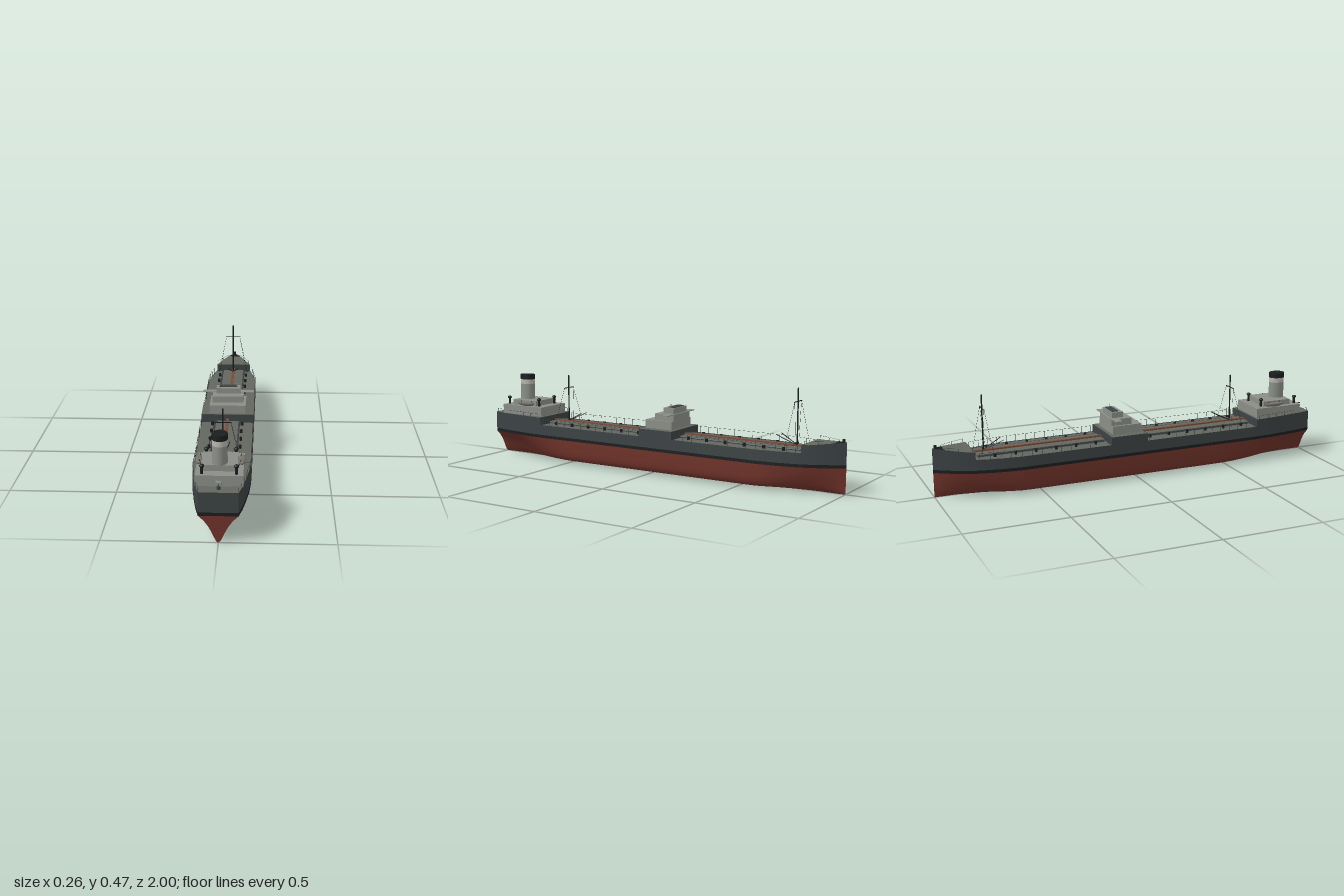
import * as THREE from 'three';
import { toCreasedNormals } from 'three/addons/utils/BufferGeometryUtils.js';

const mat = (color) => new THREE.MeshStandardMaterial({ color, side: THREE.DoubleSide });
const M = {
  red: mat(0x70332a), hull: mat(0x3c4244), black: mat(0x1b1d1e), deck: mat(0x63675f),
  house: mat(0x8b8e87), pale: mat(0xb9b7b0), pipe: mat(0x7d4a35), boat: mat(0x77736a),
};
const V = (x, y, z) => new THREE.Vector3(x, y, z);
const { lerp, smoothstep } = THREE.MathUtils;

// half breadth of the ship at a station z (bow at -1, stern at +1)
const PLAN = [[-1, 0.002], [-0.975, 0.018], [-0.95, 0.034], [-0.9, 0.061], [-0.85, 0.083], [-0.8, 0.1],
  [-0.7, 0.12], [-0.6, 0.13], [0.65, 0.13], [0.75, 0.124], [0.85, 0.112], [0.93, 0.1], [1, 0.085]];
function breadth(z) {
  const i = Math.max(1, PLAN.findIndex((p) => p[0] >= z - 1e-6));
  const [a, b] = [PLAN[i - 1], PLAN[i]];
  return lerp(a[1], b[1], (z - a[0]) / (b[0] - a[0]));
}
// underwater half sections: [fraction of half breadth, height]
const FULL = [[0, 0.003], [0.5, 0.009], [0.85, 0.014], [0.92, 0.022], [0.97, 0.04], [0.99, 0.065], [1, 0.122]];
const STERN = [[0, 0], [0.1, 0.006], [0.2, 0.022], [0.32, 0.045], [0.5, 0.074], [0.72, 0.1], [1, 0.122]];
const BOW = [[0, 0], [0.25, 0.006], [0.45, 0.02], [0.6, 0.042], [0.77, 0.07], [0.92, 0.098], [1, 0.122]];
function underwater(z) {
  const s = z > 0 ? smoothstep(z, 0.45, 1) : 1 - smoothstep(z, -0.97, -0.55);
  const end = z > 0 ? STERN : BOW, w = breadth(z);
  const half = FULL.map((p, i) => [w * lerp(p[0], end[i][0], s), lerp(p[1], end[i][1], s)]);
  return [...half.slice(1).reverse(), ...half.map(([x, y]) => [-x, y])];
}

function add(parent, name, geo, material, x = 0, y = 0, z = 0) {
  const m = new THREE.Mesh(geo, material);
  m.name = name;
  m.position.set(x, y, z);
  parent.add(m);
  return m;
}
// box given by half width, heights and z range
const block = (g, name, material, hw, y0, y1, z0, z1, x = 0) =>
  add(g, name, new THREE.BoxGeometry(hw * 2, y1 - y0, z1 - z0), material, x, (y0 + y1) / 2, (z0 + z1) / 2);
// round bar between two points
function bar(g, name, p, q, r, material = M.black, sides = 5) {
  const m = add(g, name, new THREE.CylinderGeometry(r, r, p.distanceTo(q), sides), material);
  m.position.copy(p).add(q).multiplyScalar(0.5);
  m.quaternion.setFromUnitVectors(V(0, 1, 0), q.clone().sub(p).normalize());
  return m;
}
// skin through cross-sections between two stations
function loft(g, name, material, z0, z1, section) {
  const zs = [z0, ...PLAN.map((p) => p[0]), z1];
  for (let z = -0.95; z < 1; z += 0.05) zs.push(z);
  const st = zs.filter((z) => z >= z0 && z <= z1).sort((a, b) => a - b).filter((z, i, l) => !i || z - l[i - 1] > 1e-4);
  const pos = [], idx = [], n = section(z0).length;
  st.forEach((z, j) => section(z).forEach(([x, y], i) => {
    pos.push(x, y, z);
    if (j && i) {
      const d = j * n + i, c = d - 1, b = d - n, a = b - 1;
      idx.push(a, c, b, b, c, d);
    }
  }));
  const geo = new THREE.BufferGeometry();
  geo.setAttribute('position', new THREE.Float32BufferAttribute(pos, 3));
  geo.setIndex(idx);
  add(g, name, toCreasedNormals(geo, 0.6), material);
}
function strake(g, name, material, z0, z1, y0, top) {
  for (const s of [1, -1]) loft(g, name, material, z0, z1, (z) => {
    const w = breadth(z), line = [[s * w, top(z)], [s * w, y0]];
    return s > 0 ? line : line.reverse();
  });
}
const deck = (g, name, z0, z1, top, inset = 0, material = M.deck) =>
  loft(g, name, material, z0, z1, (z) => [[-breadth(z) + inset, top(z)], [breadth(z) - inset, top(z)]]);

function railing(g, z0, z1, y, h) {
  const n = Math.round((z1 - z0) / 0.05);
  for (const s of [1, -1]) {
    const at = (i, dy) => { const z = lerp(z0, z1, i / n); return V(s * (breadth(z) - 0.002), y + dy, z); };
    for (let i = 0; i <= n; i++) {
      bar(g, 'railPost', at(i, 0), at(i, h), 0.001, M.hull, 4);
      if (i < n) bar(g, 'handRail', at(i, h), at(i + 1, h), 0.0006, M.hull, 4);
    }
  }
}

function mast(g, z, top, dir) {
  const m = new THREE.Group();
  m.name = 'mast';
  g.add(m);
  const tree = top - 0.065;
  bar(m, 'mastPole', V(0, 0.19, z), V(0, top, z), 0.0035, M.black, 8);
  bar(m, 'crossTree', V(-0.04, tree, z), V(0.04, tree, z), 0.0025);
  for (const s of [1, -1]) {
    for (const dz of [-0.03, 0.03]) bar(m, 'stay', V(s * 0.037, tree, z), V(s * 0.08, 0.19, z + dz), 0.0006);
    bar(m, 'derrick', V(s * 0.003, 0.205, z), V(s * 0.028, 0.25, z + dir * 0.095), 0.002);
  }
}

export function createModel() {
  const ship = new THREE.Group();
  ship.name = 'tanker';
  const well = () => 0.19, poop = () => 0.228, fore = (z) => 0.226 + 0.014 * smoothstep(-z, 0.82, 1);

  // hull
  loft(ship, 'lowerHull', M.red, -1, 1, underwater);
  strake(ship, 'waterlineBand', M.black, -1, 1, 0.122, () => 0.137);
  strake(ship, 'hullSide', M.hull, -1, 1, 0.137, well);
  const ends = new THREE.Shape(underwater(1).map(([x, y]) => new THREE.Vector2(x, y)));
  add(ship, 'sternLower', new THREE.ShapeGeometry(ends), M.red, 0, 0, 1);
  block(ship, 'transomBand', M.black, 0.085, 0.122, 0.137, 0.998, 1);
  block(ship, 'transom', M.hull, 0.085, 0.137, 0.228, 0.998, 1);
  deck(ship, 'wellDeck', -0.83, 0.68, () => 0.187);

  // raised poop, midship and forecastle with their bulkheads
  strake(ship, 'poopSide', M.hull, 0.665, 1, 0.19, poop);
  deck(ship, 'poopDeck', 0.665, 1, poop);
  strake(ship, 'midshipSide', M.hull, -0.145, 0.042, 0.19, poop);
  deck(ship, 'midshipDeck', -0.145, 0.042, poop);
  strake(ship, 'forecastleSide', M.hull, -1, -0.82, 0.19, fore);
  deck(ship, 'forecastleDeck', -0.95, -0.82, fore);
  deck(ship, 'bowTip', -1, -0.95, fore, 0, M.black);
  for (const [z, y] of [[0.665, 0.228], [0.042, 0.228], [-0.145, 0.228], [-0.82, 0.226]])
    block(ship, 'bulkhead', M.hull, breadth(z) - 0.0005, 0.187, y, z - 0.002, z + 0.002);
  bar(ship, 'bowPost', V(0, 0.235, -0.985), V(0, 0.255, -0.985), 0.007, M.black, 8);

  // cargo decks: trunk, pipes, hatches, catwalk and rails
  for (const [z0, z1] of [[-0.81, -0.15], [0.046, 0.66]]) {
    block(ship, 'trunkDeck', M.deck, 0.055, 0.187, 0.2, z0 + 0.01, z1 - 0.005);
    block(ship, 'catwalk', M.pipe, 0.007, 0.2, 0.207, z0 - 0.01, z1);
    for (const s of [1, -1]) {
      bar(ship, 'cargoPipe', V(s * 0.06, 0.196, z0 + 0.01), V(s * 0.06, 0.196, z1 - 0.01), 0.004, M.hull, 6);
      for (let i = 0; i < 6; i++)
        add(ship, 'tankHatch', new THREE.CylinderGeometry(0.007, 0.007, 0.016, 10), M.black,
          s * 0.073, 0.195, lerp(z0 + 0.2 * (z0 < 0 ? 0.45 : 0.18), z1 - 0.06, i / 5));
    }
    railing(ship, z0 + 0.01, z1 - 0.01, 0.187, 0.034);
  }
  railing(ship, 0.68, 0.99, 0.228, 0.018);
  railing(ship, -0.95, -0.83, 0.228, 0.016);
  mast(ship, 0.57, 0.445, -1);
  mast(ship, -0.755, 0.475, 1);

  // bridge house amidships
  const bridge = new THREE.Group();
  bridge.name = 'bridgeHouse';
  ship.add(bridge);
  block(bridge, 'lowerHouse', M.house, 0.09, 0.228, 0.27, -0.125, 0.027);
  block(bridge, 'upperHouse', M.house, 0.078, 0.27, 0.302, -0.127, -0.02);
  block(bridge, 'bridgeWing', M.house, 0.128, 0.3, 0.304, -0.125, -0.09);
  block(bridge, 'wheelhouse', M.house, 0.06, 0.304, 0.332, -0.118, -0.06);
  block(bridge, 'roofScreen', M.hull, 0.045, 0.332, 0.336, -0.112, -0.08);
  bar(bridge, 'roofPost', V(0.042, 0.33, -0.09), V(0.042, 0.35, -0.09), 0.0025, M.house);

  // after house
  const aft = new THREE.Group();
  aft.name = 'afterHouse';
  ship.add(aft);
  block(aft, 'lowerHouse', M.house, 0.102, 0.228, 0.276, 0.677, 0.935);
  block(aft, 'upperHouse', M.house, 0.078, 0.276, 0.303, 0.73, 0.885);
  const oval = (r0, r1, h) => new THREE.CylinderGeometry(r0, r1, h, 28).scale(1, 1, 1.2);
  add(aft, 'funnel', oval(0.033, 0.034, 0.085), M.house, 0, 0.3425, 0.848);
  add(aft, 'funnelBand', oval(0.0335, 0.0335, 0.025), M.pale, 0, 0.3965, 0.848);
  add(aft, 'funnelCap', oval(0.034, 0.034, 0.025), M.black, 0, 0.421, 0.848);
  for (const s of [1, -1]) {
    // lifeboat hung on davits
    const hullBoat = new THREE.SphereGeometry(1, 16, 8, 0, Math.PI * 2, Math.PI / 2, Math.PI / 2).scale(0.014, 0.016, 0.055);
    add(aft, 'lifeboat', hullBoat, M.boat, s * 0.093, 0.292, 0.785);
    add(aft, 'lifeboatCover', new THREE.SphereGeometry(1, 16, 8).scale(0.0135, 0.004, 0.053), M.boat, s * 0.093, 0.292, 0.785);
    for (const z of [0.75, 0.82]) bar(aft, 'davit', V(s * 0.08, 0.276, z), V(s * 0.09, 0.303, z), 0.0015);
    // mushroom ventilators
    for (const [x, z] of [[0.065, 0.72], [0.073, 0.915]]) {
      bar(aft, 'ventPipe', V(s * x, 0.276, z), V(s * x, 0.31, z), 0.006, M.black, 10);
      add(aft, 'ventHead', new THREE.SphereGeometry(0.011, 12, 8).scale(1, 0.75, 1), M.black, s * x, 0.312, z);
    }
  }

  // stern gun
  bar(ship, 'gunMount', V(0, 0.228, 0.962), V(0, 0.245, 0.962), 0.009, M.hull, 10);
  block(ship, 'gunShield', M.house, 0.013, 0.244, 0.261, 0.952, 0.972);
  bar(ship, 'gunBarrel', V(0, 0.252, 0.96), V(0, 0.252, 1), 0.0025, M.hull, 8);
  return ship;
}
